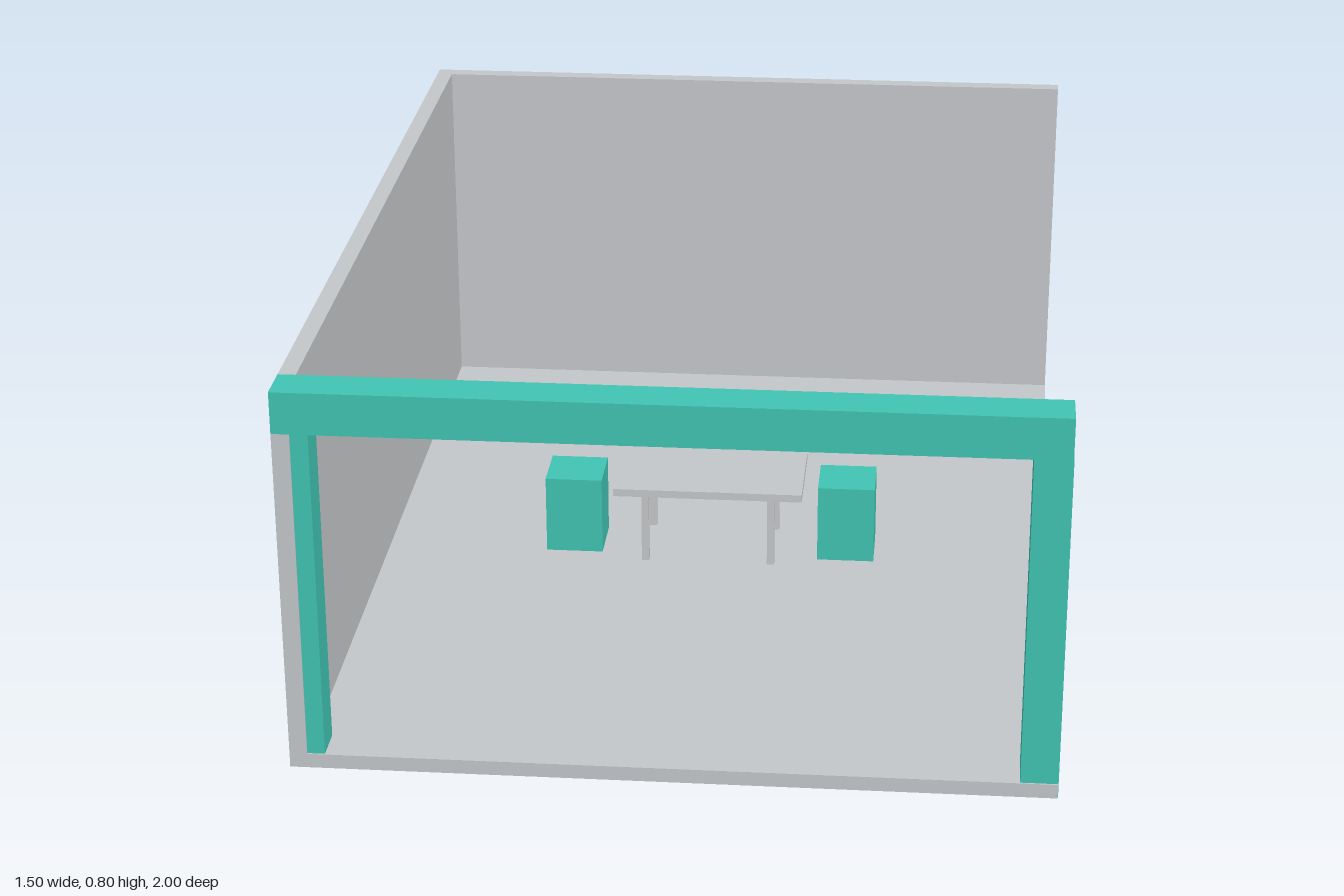
import * as THREE from 'three';

export function createModel() {
  const model = new THREE.Group();
  model.name = 'exhibitionBooth';

  const grey = new THREE.MeshStandardMaterial({ color: 0xc3c6c9 });
  grey.name = 'panel grey';
  const teal = new THREE.MeshStandardMaterial({ color: 0x40c2b2 });
  teal.name = 'accent teal';

  // Box given by its extents on each axis
  function box(name, material, [x0, x1], [y0, y1], [z0, z1], parent = model) {
    const mesh = new THREE.Mesh(new THREE.BoxGeometry(x1 - x0, y1 - y0, z1 - z0), material);
    mesh.position.set((x0 + x1) / 2, (y0 + y1) / 2, (z0 + z1) / 2);
    mesh.name = name;
    parent.add(mesh);
    return mesh;
  }

  // Floor and the back wall
  box('floor', grey, [-0.715, 0.75], [0, 0.03], [-0.965, 1]);
  box('backWall', grey, [-0.715, 0.75], [0, 0.8], [-1, -0.965]);

  // Side wall, notched at the top front corner where the beam rests
  const profile = new THREE.Shape();
  [[-1, 0], [1, 0], [1, 0.715], [0.913, 0.715], [0.913, 0.8], [-1, 0.8]].forEach(([z, y], i) =>
    i ? profile.lineTo(-z, y) : profile.moveTo(-z, y));
  const wallGeometry = new THREE.ExtrudeGeometry(profile, { depth: 0.035, bevelEnabled: false });
  wallGeometry.rotateY(Math.PI / 2);
  const sideWall = new THREE.Mesh(wallGeometry, grey);
  sideWall.position.x = -0.75;
  sideWall.name = 'sideWall';
  model.add(sideWall);

  // Front portal: beam on two columns, the right one wrapping the floor edge
  const portal = new THREE.Group();
  portal.name = 'portal';
  model.add(portal);
  box('beam', teal, [-0.75, 0.75], [0.715, 0.8], [0.913, 1], portal);
  box('columnAtWall', teal, [-0.715, -0.68], [0.03, 0.715], [0.923, 0.997], portal);
  box('columnFree', teal, [0.677, 0.751], [0.001, 0.715], [0.923, 0.997], portal);

  // Table with four legs
  const table = new THREE.Group();
  table.name = 'table';
  table.position.set(-0.003, 0, -0.004);
  model.add(table);
  box('tableTop', grey, [-0.206, 0.206], [0.19, 0.207], [-0.112, 0.112], table);
  for (const x of [-0.138, 0.138])
    for (const z of [-0.089, 0.089])
      box('tableLeg', grey, [x - 0.008, x + 0.008], [0.03, 0.19], [z - 0.008, z + 0.008], table);

  // Block stools at both ends of the table
  for (const x of [-0.302, 0.298])
    box('stool', teal, [x - 0.062, x + 0.062], [0.03, 0.203], [-0.065, 0.059]);

  return model;
}
